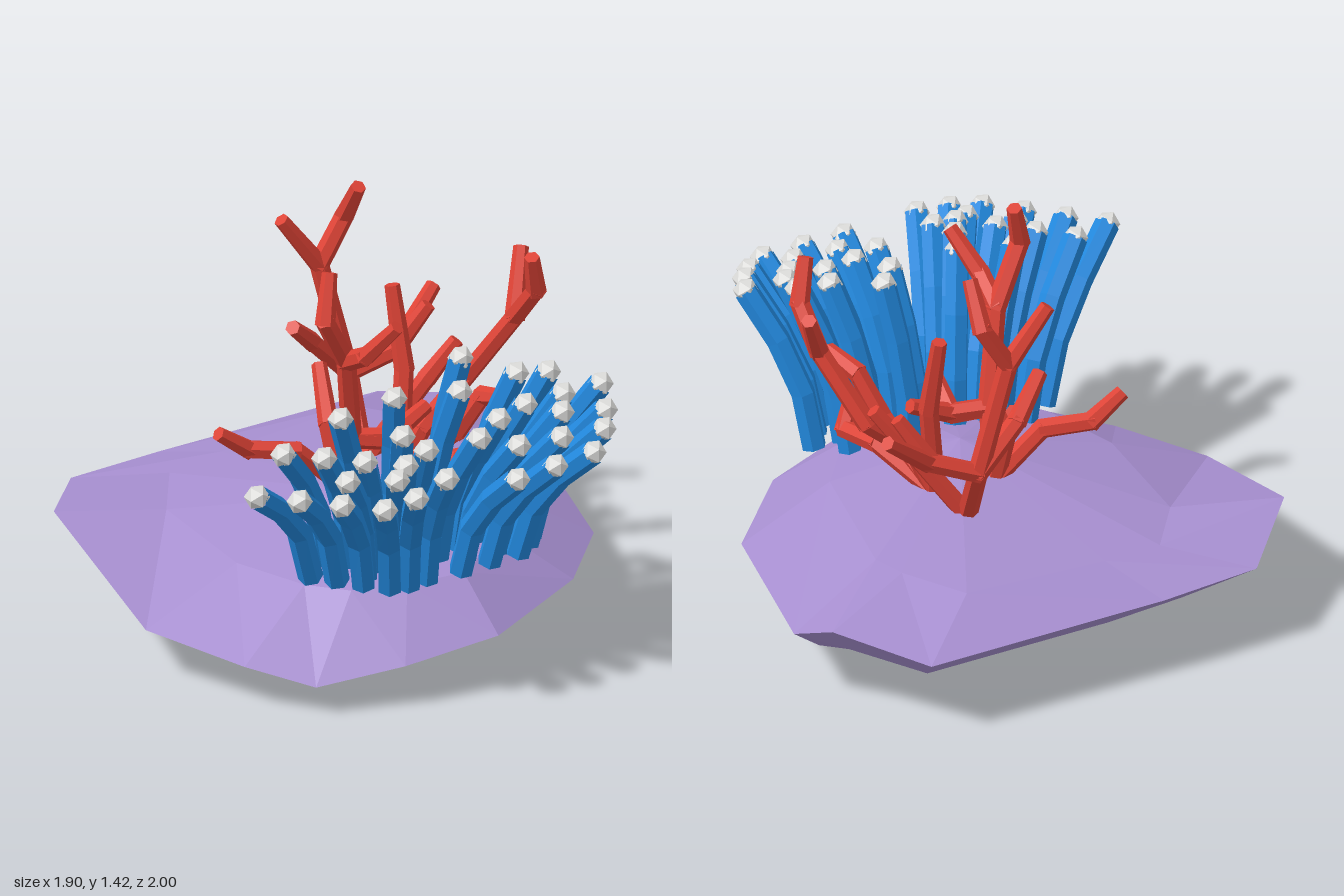
import * as THREE from 'three';

function flat(name, color) {
  const m = new THREE.MeshStandardMaterial({ color, flatShading: true });
  m.name = name;
  return m;
}
const vec = (p) => new THREE.Vector3(...p);

function addMesh(parent, name, geometry, material) {
  const m = new THREE.Mesh(geometry, material);
  m.name = name;
  parent.add(m);
  return m;
}

function addGroup(parent, name) {
  const g = new THREE.Group();
  g.name = name;
  parent.add(g);
  return g;
}

// Faceted boulder: an uneven rim, shrunk upward to a crown and downward to a foot
function rockGeometry() {
  const rim = [
    [0.95, 0.27, -0.55], [0.78, 0.2, 0.22], [0.5, 0.22, 0.55], [0.05, 0.21, 0.8], [-0.3, 0.16, 0.76],
    [-0.6, 0.11, 0.66], [-0.78, 0.16, 0.48], [-0.95, 0.19, 0.1], [-0.92, 0.37, -0.57], [-0.66, 0.31, -0.89],
    [-0.28, 0.3, -0.94], [0.64, 0.29, -1], [0.88, 0.34, -0.71]];
  const levels = [
    () => [0, 0.49, 0.1],
    ([x, , z]) => [x * 0.6, 0.375 + x * 0.03, z * 0.75],
    (p) => p,
    ([x, y, z]) => [x * 0.78 + 0.06, y * 0.5 + Math.max(0, z) * 0.06, z * 0.8],
    ([x, y, z]) => [x * 0.38 + 0.1, y * 0.17 + Math.max(0, z) * 0.07, z * 0.42 - 0.03],
    () => [0.22, 0, -0.14],
  ];
  const rings = levels.map((rule) => rim.map((p) => rule(p)));
  const pos = [];
  for (let r = 0; r < rings.length - 1; r++) {
    const u = rings[r], l = rings[r + 1];
    for (let i = 0; i < rim.length; i++) {
      const j = (i + 1) % rim.length;
      if (r > 0) pos.push(...u[i], ...u[j], ...l[i]);
      if (r < rings.length - 2) pos.push(...u[j], ...l[j], ...l[i]);
    }
  }
  const g = new THREE.BufferGeometry();
  g.setAttribute('position', new THREE.Float32BufferAttribute(pos, 3));
  g.computeVertexNormals();
  return g;
}

// One tentacle that rises, then bends outward, with a faceted knob on its tip
function addTentacle(parent, base, tip, tubeMat, tipMat) {
  const points = [0, 0.4, 0.73, 1].map((h) => {
    const p = base.clone().lerp(tip, h ** 1.8);
    p.y = THREE.MathUtils.lerp(base.y, tip.y, h);
    return p;
  });
  const curve = new THREE.CatmullRomCurve3(points);
  addMesh(parent, 'tentacle', new THREE.TubeGeometry(curve, 3, 0.044, 6), tubeMat);
  addMesh(parent, 'tentacleTip', new THREE.IcosahedronGeometry(0.046, 0), tipMat).position.copy(tip);
}

// A clump of tentacles in rows: start x, z, end x, z and count
function addAnemone(parent, name, rows, height, root, tubeMat, tipMat) {
  const clump = addGroup(parent, name);
  for (const [x0, z0, x1, z1, count] of rows) {
    for (let i = 0; i < count; i++) {
      const t = i / Math.max(1, count - 1);
      const x = THREE.MathUtils.lerp(x0, x1, t), z = THREE.MathUtils.lerp(z0, z1, t);
      addTentacle(clump, vec(root(x, z)), vec([x, height(x, z), z]), tubeMat, tipMat);
    }
  }
}

// Angular coral branch: overlapping six-sided rods through the points
function addBranch(parent, points, material) {
  const up = new THREE.Vector3(0, 1, 0);
  for (let i = 0; i < points.length - 1; i++) {
    const a = vec(points[i]), b = vec(points[i + 1]);
    const dir = b.clone().sub(a);
    const last = i === points.length - 2;
    const rod = addMesh(parent, 'coralBranch',
      new THREE.CylinderGeometry(last ? 0.027 : 0.034, 0.036, dir.length() + 0.024, 6), material);
    rod.position.copy(a).lerp(b, 0.5);
    rod.quaternion.setFromUnitVectors(up, dir.normalize());
  }
}

// A stem with side branches; each fork names the stem point it grows from
function addCoral(parent, name, stem, forks, material) {
  const coral = addGroup(parent, name);
  addBranch(coral, stem, material);
  for (const [from, ...points] of forks) addBranch(coral, [stem[from], ...points], material);
}

export function createModel() {
  const model = new THREE.Group();
  model.name = 'coralRock';
  const purple = flat('rock purple', 0xa78fd0);
  const blue = flat('tentacle blue', 0x2288dd);
  const white = flat('tip pale grey', 0xdededc);
  const red = flat('coral red', 0xdc4235);

  addMesh(model, 'rock', rockGeometry(), purple);

  // Anemone clumps
  addAnemone(model, 'rightAnemone', [
    [-0.82, 0.63, -0.49, 0.94, 4], [-0.63, 0.49, -0.31, 0.78, 4], [-0.52, 0.74, -0.23, 0.92, 3],
    [-0.37, 0.44, -0.16, 0.45, 2], [-0.24, 0.64, -0.21, 0.75, 2], [-0.37, 0.95, -0.37, 0.95, 1]],
  (x, z) => 1.14 - z * 0.2 + x * 0.17,
  (x, z) => [0.02 + x * 0.57, 0.38, z * 0.65 + x * 0.05],
  blue, white);
  addAnemone(model, 'leftAnemone', [
    [0.03, 0.96, 0.36, 0.92, 3], [0.13, 0.8, 0.46, 0.82, 3], [0.02, 0.72, 0.14, 0.65, 2],
    [0.37, 0.69, 0.52, 0.73, 2], [0.27, 0.61, 0.58, 0.6, 3], [0.33, 0.45, 0.44, 0.48, 2],
    [0.19, 0.31, 0.09, 0.47, 2]],
  (x, z) => 1.12 - z * 0.26,
  (x, z) => [x * 0.74 - 0.02, 0.4, z * 0.6 + 0.05],
  blue, white);

  // Branching coral
  addCoral(model, 'rightCoral',
    [[-0.03, 0.44, -0.12], [-0.05, 0.66, -0.02], [-0.12, 1, 0.06], [-0.24, 1.2, 0.12], [-0.2, 1.35, 0.08]], [
      [2, [-0.12, 1.07, 0.19], [-0.06, 1.2, 0.29]],
      [0, [-0.2, 0.6, -0.14], [-0.36, 0.62, -0.2], [-0.47, 0.7, -0.2]],
      [0, [-0.05, 0.66, -0.18], [0, 0.8, -0.32]],
      [1, [0.08, 0.65, 0.02], [0.23, 0.72, 0]],
      [1, [0.07, 0.64, 0.02], [0.07, 0.72, 0.14]],
    ], red);
  addCoral(model, 'leftCoral',
    [[0.2, 0.44, -0.12], [0.27, 0.6, -0.08], [0.45, 0.75, -0.09], [0.57, 1, 0.04], [0.59, 1.14, 0.15], [0.55, 1.28, 0.19]], [
      [3, [0.66, 1.19, -0.07]],
      [0, [0.3, 0.65, 0.1], [0.36, 0.8, 0.17], [0.4, 0.83, 0.3]],
      [0, [0.32, 0.55, 0.1], [0.36, 0.53, 0.27], [0.33, 0.59, 0.3]],
      [0, [0.25, 0.8, -0.17], [0.24, 1.08, -0.23]],
    ], red);
  addCoral(model, 'rearCoral',
    [[0.16, 0.42, -0.29], [0.2, 0.68, -0.46], [0.1, 1.1, -0.49], [0.2, 1.26, -0.49], [0.2, 1.4, -0.4]], [
      [2, [-0.04, 1.29, -0.5]],
      [1, [0.04, 0.84, -0.44], [-0.08, 0.95, -0.36]],
      [1, [0.38, 0.75, -0.43], [0.56, 0.9, -0.5]],
      [1, [0.36, 0.74, -0.42], [0.46, 0.9, -0.37]],
      [0, [0.37, 0.72, -0.21], [0.46, 0.84, -0.18]],
    ], red);

  return model;
}
